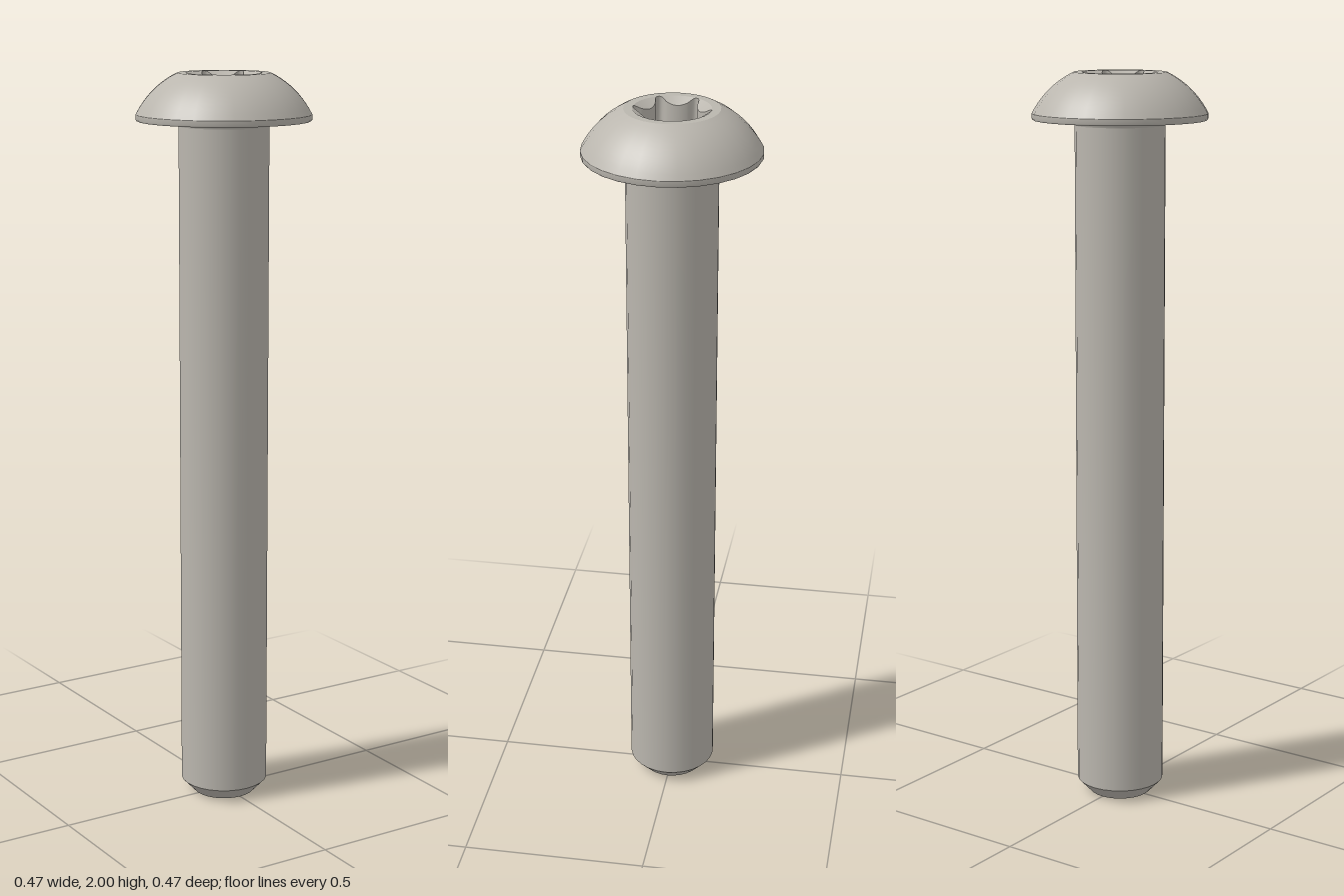
import * as THREE from 'three';

const SIDES = 28;
const STEPS = 144;

// Radius of the six-lobed socket outline at angle t (a lobe tip lies at t = 0)
function socketRadius(t) {
  const sector = Math.PI / 3;
  const a = Math.abs(t - Math.round(t / sector) * sector);
  if (a < 0.135) return 0.088 * Math.cos(a) + Math.sqrt(0.012 ** 2 - (0.088 * Math.sin(a)) ** 2);
  const p = sector / 2 - a;
  return 0.135 * Math.cos(p) - Math.sqrt(0.063 ** 2 - (0.135 * Math.sin(p)) ** 2);
}

// Closed strip between two outlines; each outline maps an angle to [radius, height]
function band(from, to) {
  const pos = [], index = [];
  for (let i = 0; i < STEPS; i++) {
    const t = (i / STEPS) * Math.PI * 2;
    for (const outline of [from, to]) {
      const [r, y] = outline(t);
      pos.push(r * Math.sin(t), y, r * Math.cos(t));
    }
    const a = 2 * i, b = 2 * ((i + 1) % STEPS);
    index.push(a, b, b + 1, a, b + 1, a + 1);
  }
  const g = new THREE.BufferGeometry();
  g.setAttribute('position', new THREE.Float32BufferAttribute(pos, 3));
  g.setIndex(index);
  g.computeVertexNormals();
  return g;
}

export function createModel() {
  const group = new THREE.Group();
  const steel = new THREE.MeshStandardMaterial({ color: 0xbab6ae });
  steel.name = 'steel';

  const add = (name, geometry) => {
    const mesh = new THREE.Mesh(geometry, steel);
    mesh.name = name;
    group.add(mesh);
  };
  const turned = (name, points) =>
    add(name, new THREE.LatheGeometry(points.map(([x, y]) => new THREE.Vector2(x, y)), SIDES));

  // Shank, each sharp-edged zone turned separately
  turned('tipFace', [[0, 0], [0.085, 0]]);
  turned('tipChamfer', [[0.085, 0], [0.12, 0.037]]);
  turned('shank', [[0.12, 0.037], [0.12, 1.862]]);
  turned('neckFillet', [[0.12, 1.862], [0.122, 1.869], [0.127, 1.874], [0.135, 1.876]]);

  // Domed head
  turned('headUnderside', [[0.135, 1.876], [0.23, 1.876]]);
  turned('headRim', [[0.23, 1.876], [0.233, 1.88], [0.233, 1.893]]);
  const dome = new THREE.QuadraticBezierCurve(
    new THREE.Vector2(0.233, 1.893), new THREE.Vector2(0.195, 1.965), new THREE.Vector2(0.123, 2));
  add('headDome', new THREE.LatheGeometry(dome.getPoints(10), SIDES));
  turned('headTop', [[0.123, 2], [0.1, 2]]);

  // Socket: countersunk mouth, lobed wall and conical floor
  const mouth = () => [0.1, 2];
  const edge = (t) => {
    const r = socketRadius(t);
    return [r, 2 - 0.6 * (0.1 - r)];
  };
  const foot = (t) => {
    const r = socketRadius(t);
    return [r, 1.935 - 0.35 * (0.1 - r)];
  };
  add('socketCountersink', band(mouth, edge));
  add('socketWall', band(edge, foot));
  add('socketFloor', band(foot, () => [0, 1.9]));

  return group;
}
